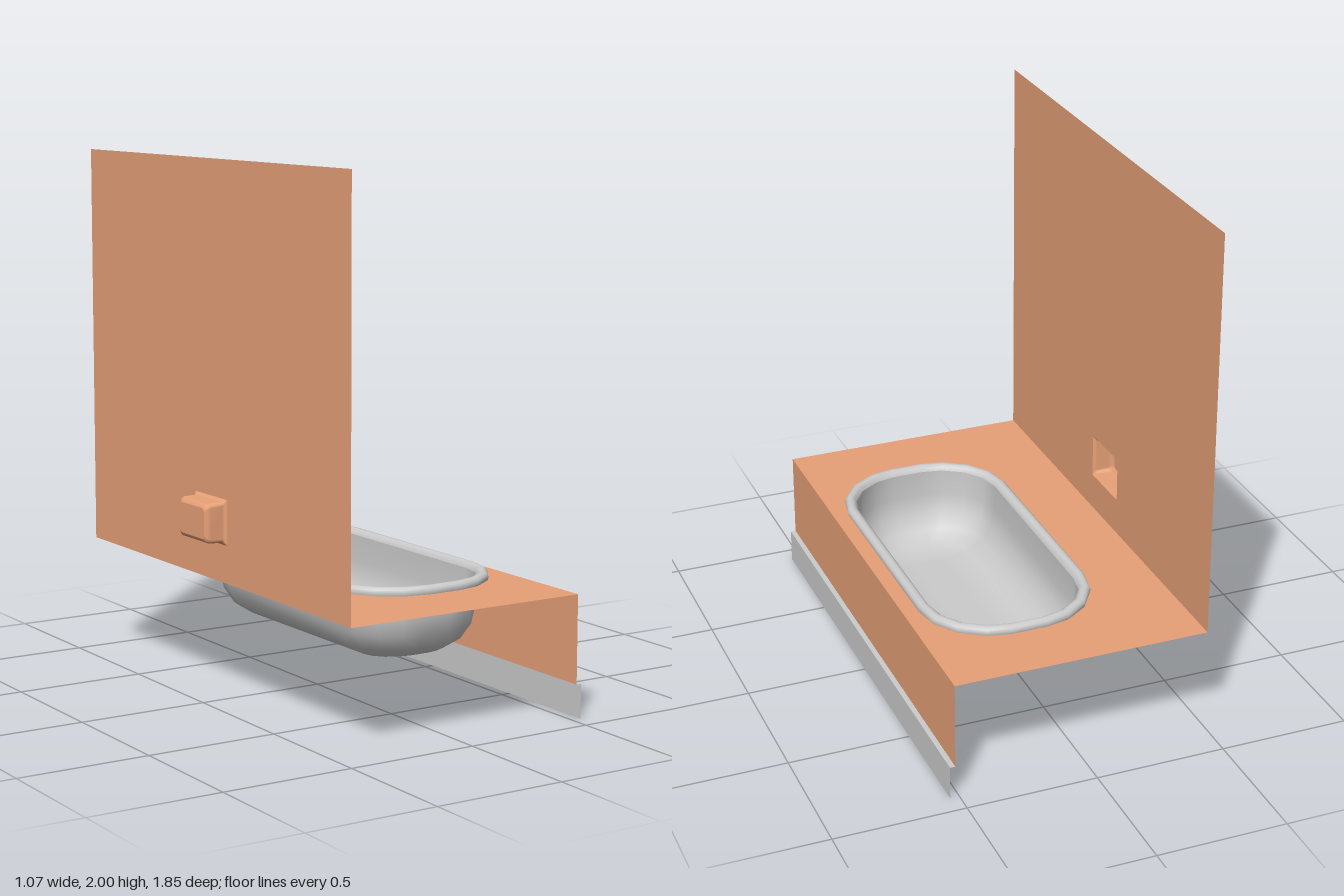
import * as THREE from 'three';

const WALL_X = -0.455, PANEL_X = 0.515, KICK_X = 0.535;
const DECK_Y = 0.462, PANEL_Y = 0.13, HALF_Z = 0.925;
const TUB_X = 0.13, TUB_Z = -0.015;

const tile = new THREE.MeshStandardMaterial({ color: 0xe6a077, side: THREE.DoubleSide });
const grey = new THREE.MeshStandardMaterial({ color: 0xcccccc, side: THREE.DoubleSide });

function part(name, geometry, material) {
  const mesh = new THREE.Mesh(geometry, material);
  mesh.name = name;
  return mesh;
}

// Skin between equal-length closed rings of Vector3
function loft(rings) {
  const n = rings[0].length, index = [];
  for (let r = 0; r < rings.length - 1; r++) {
    for (let i = 0; i < n; i++) {
      const a = r * n + i, b = r * n + (i + 1) % n;
      index.push(a, b, a + n, b, b + n, a + n);
    }
  }
  const g = new THREE.BufferGeometry().setFromPoints(rings.flat());
  g.setIndex(index);
  g.computeVertexNormals();
  return g;
}

// Flat rectangle with an optional hole, in shape coordinates
function sheet(x0, x1, y0, y1, hole) {
  const shape = new THREE.Shape([[x0, y0], [x1, y0], [x1, y1], [x0, y1]].map(p => new THREE.Vector2(...p)));
  if (hole) shape.holes.push(new THREE.Path(hole));
  return new THREE.ShapeGeometry(shape);
}

// Tub outline, inset by d: straight sides with faceted round ends
const corner = [[0.33, 0.395], [0.31, 0.495], [0.25, 0.585], [0.16, 0.645], [0.07, 0.665]];
function outline(d) {
  const sx = (0.33 - d) / 0.33, sz = Math.max(0, 0.27 - d) / 0.27;
  const q = corner.map(([x, z]) => [x * sx, 0.395 + (z - 0.395) * sz]);
  const back = [...q].reverse();
  return [
    ...q,
    ...back.map(([x, z]) => [-x, z]),
    ...q.map(([x, z]) => [-x, -z]),
    ...back.map(([x, z]) => [x, -z]),
  ].map(([x, z]) => new THREE.Vector2(TUB_X + x, TUB_Z + z));
}
const tubRing = ([d, y]) => outline(d).map(p => new THREE.Vector3(p.x, y, p.y));

// Rounded rectangle in the wall plane (x = z axis, y = height)
function roundedRect(z0, z1, y0, y1, r) {
  const pts = [];
  [[z1 - r, y1 - r], [z0 + r, y1 - r], [z0 + r, y0 + r], [z1 - r, y0 + r]].forEach(([cz, cy], k) => {
    for (let i = 0; i <= 4; i++) {
      const a = (k + i / 4) * Math.PI / 2;
      pts.push(new THREE.Vector2(cz + r * Math.cos(a), cy + r * Math.sin(a)));
    }
  });
  return pts;
}
const nicheRect = (inset, r) => roundedRect(-0.125 + inset, 0.105 - inset, 0.602 + inset, 0.772 - inset, r);

export function createModel() {
  const group = new THREE.Group();

  // Tiled surround
  const wall = sheet(-HALF_Z, HALF_Z, DECK_Y, 2, nicheRect(0, 0.006));
  wall.rotateY(-Math.PI / 2).translate(WALL_X, 0, 0);
  group.add(part('wall', wall, tile));

  const deck = sheet(WALL_X, PANEL_X, -HALF_Z, HALF_Z, outline(0.04));
  deck.rotateX(Math.PI / 2).translate(0, DECK_Y, 0);
  group.add(part('deck', deck, tile));

  const panel = sheet(-HALF_Z, HALF_Z, PANEL_Y, DECK_Y);
  panel.rotateY(-Math.PI / 2).translate(PANEL_X, 0, 0);
  group.add(part('sidePanel', panel, tile));

  // Kickboard with its narrow top ledge
  const kick = sheet(-HALF_Z, HALF_Z, 0, PANEL_Y);
  kick.rotateY(-Math.PI / 2).translate(KICK_X, 0, 0);
  group.add(part('kickboard', kick, grey));
  const ledge = sheet(PANEL_X, KICK_X, -HALF_Z, HALF_Z);
  ledge.rotateX(Math.PI / 2).translate(0, PANEL_Y, 0);
  group.add(part('kickboardLedge', ledge, grey));

  // Soap niche sunk behind the wall: [x, inset, corner radius]
  const niche = [
    [WALL_X, 0, 0.006], [-0.462, 0.007, 0.01], [-0.468, 0.01, 0.014], [-0.515, 0.011, 0.016],
    [-0.528, 0.016, 0.018], [-0.535, 0.028, 0.016],
  ].map(([x, inset, r]) => nicheRect(inset, r).map(p => new THREE.Vector3(x, p.y, p.x)));
  group.add(part('soapNiche', loft(niche), tile));
  const nicheBack = new THREE.ShapeGeometry(new THREE.Shape(nicheRect(0.028, 0.016)));
  nicheBack.rotateY(-Math.PI / 2).translate(-0.535, 0, 0);
  group.add(part('soapNicheBack', nicheBack, tile));

  // Bathtub: [inset, height]
  const tub = new THREE.Group();
  tub.name = 'bathtub';
  const rim = [[0.003, 0.463], [0, 0.474], [0.004, 0.485], [0.014, 0.493], [0.028, 0.493], [0.039, 0.486], [0.045, 0.472]];
  const bowl = [
    [0.045, 0.472], [0.046, 0.37], [0.06, 0.3], [0.1, 0.24], [0.16, 0.203],
    [0.22, 0.191], [0.27, 0.19], [0.33, 0.19],
  ];
  tub.add(part('rim', loft(rim.map(tubRing)), grey), part('bowl', loft(bowl.map(tubRing)), grey));
  group.add(tub);

  return group;
}
